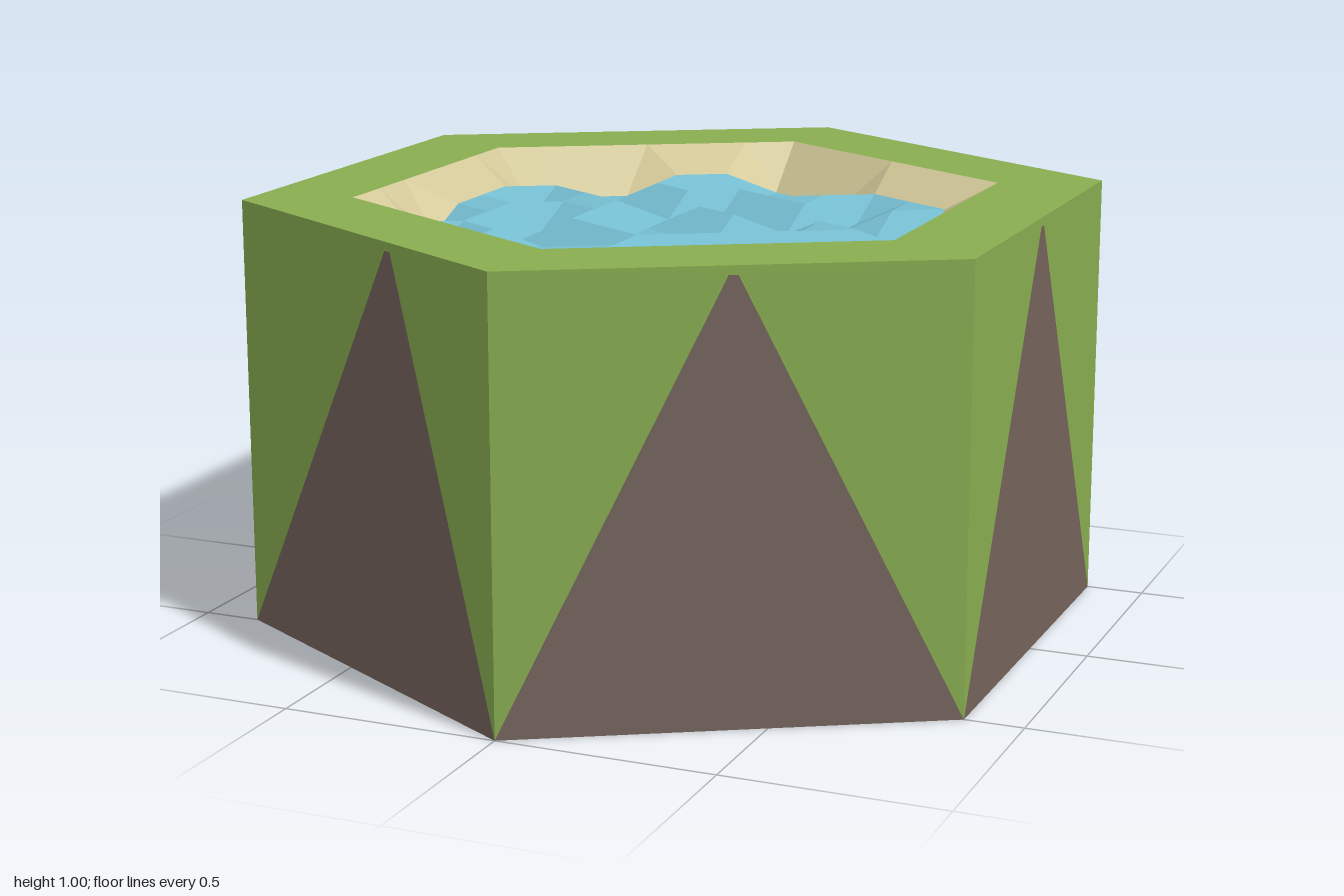
import * as THREE from 'three';

const paint = (name, color) => {
  const m = new THREE.MeshStandardMaterial({ color, side: THREE.DoubleSide, flatShading: true });
  m.name = name;
  return m;
};

const APOTHEM = Math.sqrt(3) / 2;
const STEP = 0.125; // spacing of the triangular basin lattice
const RINGS = 6;

function shapeOf(points) {
  return new THREE.Shape(points.map(([x, y]) => new THREE.Vector2(x, y)));
}

function hexPoints(radius) {
  return Array.from({ length: 6 }, (_, i) => {
    const a = (i * Math.PI) / 3;
    return [radius * Math.sin(a), radius * Math.cos(a)];
  });
}

// Repeatable value from 0 to 1 for a lattice point
function noise(q, r) {
  const s = Math.sin(q * 127.1 + r * 311.7 + 4.2) * 43758.5453;
  return s - Math.floor(s);
}

const ringOf = (q, r) => Math.max(Math.abs(q), Math.abs(r), Math.abs(q + r));

// Lattice point: level at the rim, stepped up and down inside
function basinPoint(q, r) {
  const y = ringOf(q, r) === RINGS ? 1 : noise(q, r) < 0.5 ? 0.89 : 0.94;
  return [q * STEP * APOTHEM, y, (r + q / 2) * STEP];
}

function geometryFrom(positions) {
  const g = new THREE.BufferGeometry();
  g.setAttribute('position', new THREE.Float32BufferAttribute(positions, 3));
  g.computeVertexNormals();
  return g;
}

export function createModel() {
  const model = new THREE.Group();
  model.name = 'hexPondTile';
  const grass = paint('grassGreen', 0x88ad50);
  const earth = paint('earthBrown', 0x75645c);
  const sand = paint('sand', 0xd2c898);
  const water = paint('waterBlue', 0x74bccf);

  const add = (parent, name, geometry, material) => {
    const mesh = new THREE.Mesh(geometry, material);
    mesh.name = name;
    parent.add(mesh);
    return mesh;
  };

  // Six side walls: an earth peak fitted into a grass panel
  for (let i = 0; i < 6; i++) {
    const wall = new THREE.Group();
    wall.name = 'wall' + (i + 1);
    wall.rotation.y = -Math.PI / 6 + (i * Math.PI) / 3;
    const apex = i === 0 ? 0.12 : 0;
    const peak = [[apex + 0.01, 0.98], [apex - 0.01, 0.98]];
    const earthShape = shapeOf([[-0.5, 0], [0.5, 0], ...peak]);
    const grassShape = shapeOf([[0.5, 0], [0.5, 1], [-0.5, 1], [-0.5, 0], peak[1], peak[0]]);
    add(wall, 'earthPeak', new THREE.ShapeGeometry(earthShape), earth).position.z = APOTHEM;
    add(wall, 'grassPanel', new THREE.ShapeGeometry(grassShape), grass).position.z = APOTHEM;
    model.add(wall);
  }

  // Flat grass rim around the basin
  const rimShape = shapeOf(hexPoints(1));
  rimShape.holes.push(shapeOf(hexPoints(RINGS * STEP)));
  const rim = add(model, 'grassRim', new THREE.ShapeGeometry(rimShape), grass);
  rim.rotation.x = -Math.PI / 2;
  rim.position.y = 1;

  // Basin: outermost ring of triangles is the bank, the rest is rippled water
  const bank = [];
  const surface = [];
  const triangle = (...corners) => {
    const outer = Math.max(...corners.map(([q, r]) => ringOf(q, r)));
    if (outer > RINGS) return;
    const target = outer === RINGS ? bank : surface;
    corners.forEach(([q, r]) => target.push(...basinPoint(q, r)));
  };
  for (let q = -RINGS; q < RINGS; q++) {
    for (let r = -RINGS; r < RINGS; r++) {
      triangle([q, r], [q, r + 1], [q + 1, r]);
      triangle([q + 1, r], [q, r + 1], [q + 1, r + 1]);
    }
  }
  add(model, 'sandBank', geometryFrom(bank), sand);
  add(model, 'waterSurface', geometryFrom(surface), water);

  return model;
}
